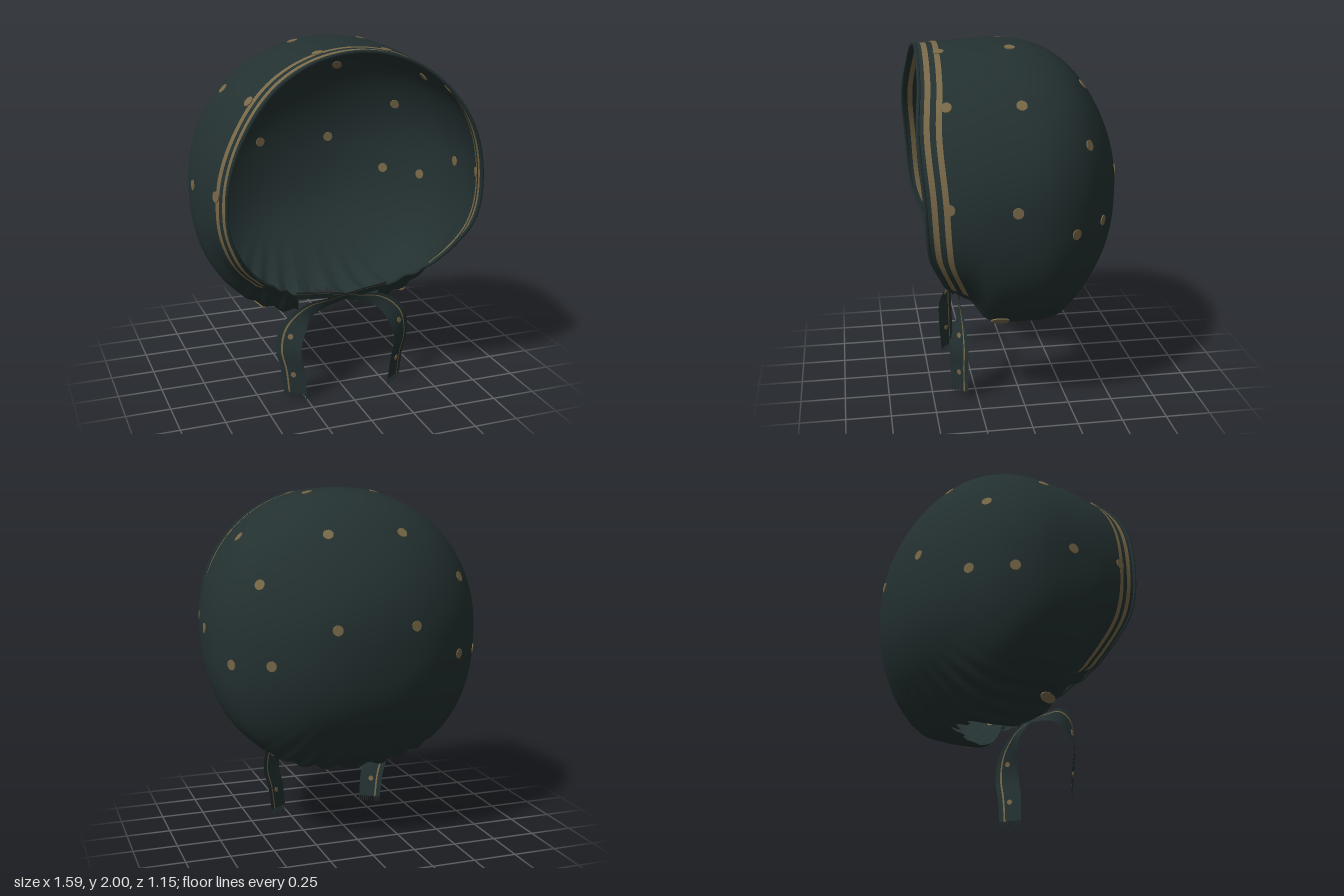
import * as THREE from 'three';

const fabric = new THREE.MeshStandardMaterial({ color: 0x243131, side: THREE.DoubleSide });
fabric.name = 'dark fabric';
const gold = new THREE.MeshStandardMaterial({ color: 0x786848, side: THREE.DoubleSide });
gold.name = 'gold print';

const POLE = -0.575, MID = 1.2;

// Smooth curve y(x) through rows of [x, y]
function smooth(pts) {
  const n = pts.length;
  const slope = pts.map((_, i) => {
    const a = pts[Math.max(i - 1, 0)], b = pts[Math.min(i + 1, n - 1)];
    return (b[1] - a[1]) / (b[0] - a[0]);
  });
  return (x) => {
    let i = 0;
    while (i < n - 2 && x > pts[i + 1][0]) i++;
    const h = pts[i + 1][0] - pts[i][0];
    const t = THREE.MathUtils.clamp((x - pts[i][0]) / h, 0, 1), t2 = t * t, t3 = t2 * t;
    return (2 * t3 - 3 * t2 + 1) * pts[i][1] + (t3 - 2 * t2 + t) * h * slope[i]
      + (3 * t2 - 2 * t3) * pts[i + 1][1] + (t3 - t2) * h * slope[i + 1];
  };
}

// Upright slices of the cap: z, half width, top, bottom
const slices = [
  [POLE, 0, 1.2, 1.2], [-0.55, 0.24, 1.42, 0.94], [-0.5, 0.39, 1.57, 0.79],
  [-0.4, 0.56, 1.75, 0.63], [-0.3, 0.67, 1.865, 0.51], [-0.2, 0.735, 1.935, 0.43],
  [-0.1, 0.775, 1.975, 0.415], [0, 0.79, 1.995, 0.415], [0.12, 0.79, 2, 0.42],
  [0.2, 0.787, 1.997, 0.45], [0.28, 0.78, 1.992, 0.56], [0.42, 0.752, 1.982, 0.64],
  [0.5, 0.728, 1.975, 0.69], [0.58, 0.72, 1.965, 0.72],
];
const depth = (z) => Math.sqrt(Math.max(z - POLE, 0));
const column = (k) => smooth(slices.map((s) => [depth(s[0]), s[k]]));
const halfWidth = column(1), top = column(2), bottom = column(3);

// Depth of the open edge by angle from the crown, in degrees
const rimDepth = smooth([
  [0, 0.53], [35, 0.545], [60, 0.57], [85, 0.55], [105, 0.535], [115, 0.52], [130, 0.47],
  [148, 0.41], [160, 0.32], [165, 0.25], [168, 0.14], [172, 0], [176, -0.14], [180, -0.19],
]);
const rimZ = (a) => rimDepth(Math.abs(a) * 180 / Math.PI);

// Point of the cap at an angle and depth, gathered towards the neck
function capPoint(a, z) {
  const s = depth(z), c = Math.cos(a), q = 2 / (c > 0 ? 2.05 : 2.4);
  const gather = THREE.MathUtils.smoothstep(Math.abs(a), 2.3, 2.85)
    * THREE.MathUtils.smoothstep(z, -0.5, -0.15);
  const k = 1 + 0.016 * gather * Math.cos(a * 38);
  const h = c > 0 ? top(s) - MID : MID - bottom(s);
  return new THREE.Vector3(
    k * halfWidth(s) * Math.sign(Math.sin(a)) * Math.abs(Math.sin(a)) ** q,
    MID + k * h * Math.sign(c) * Math.abs(c) ** q, z);
}

function buildGeometry(points, plain, printed) {
  const g = new THREE.BufferGeometry().setFromPoints(points);
  g.setIndex([...plain, ...printed]);
  g.addGroup(0, plain.length, 0);
  g.addGroup(plain.length, printed.length, 1);
  g.computeVertexNormals();
  return g;
}

// Cap shell with two printed bands behind the face edge
function makeCap() {
  const cols = 280, bands = [0, 0.03, 0.06, 0.09, 0.12], rows = 44;
  const pts = [], plain = [], printed = [], angles = [];
  const perCol = bands.length + rows;
  for (let i = 0; i < cols; i++) {
    const t = (2 * i) / cols - 1;
    const a = Math.PI * Math.sign(t) * (1 - (1 - Math.abs(t)) ** 1.2);
    angles.push(a);
    // frayed edge at the nape
    const fray = Math.abs(a) > 2.95 ? (i % 4 < 2 ? 0.02 : -0.02) : 0;
    const zr = rimZ(a) + fray;
    for (const d of bands) pts.push(capPoint(a, zr - d));
    for (let j = 1; j <= rows; j++) {
      const v = 1 - j / rows;
      pts.push(capPoint(a, POLE + (zr - 0.12 - POLE) * v * v));
    }
  }
  for (let i = 0; i < cols; i++) {
    const m = ((i + 1) % cols) * perCol, n = i * perCol;
    for (let j = 0; j < perCol - 1; j++) {
      const band = (j === 1 || j === 3) && Math.abs(angles[i]) < 2.55;
      (band ? printed : plain).push(n + j, m + j, n + j + 1, m + j, m + j + 1, n + j + 1);
    }
  }
  const cap = new THREE.Mesh(buildGeometry(pts, plain, printed), [fabric, gold]);
  cap.name = 'cap';
  return cap;
}

// Rolled hem along the face edge
function makeHem() {
  const pts = [];
  for (let i = 0; i <= 80; i++) {
    const a = -2.86 + 5.72 * i / 80;
    pts.push(capPoint(a, rimZ(a)));
  }
  const hem = new THREE.Mesh(
    new THREE.TubeGeometry(new THREE.CatmullRomCurve3(pts), 160, 0.01, 6), fabric);
  hem.name = 'faceHem';
  return hem;
}

// Printed spot lying through the cloth; x and y give the angle
function makeSpot(x, y, z, length = 1) {
  const s = depth(z), h = y > MID ? top(s) - MID : MID - bottom(s);
  const e = (y > MID ? 2.05 : 2.4) / 2;
  const a = Math.sign(x) * Math.atan2((Math.abs(x) / halfWidth(s)) ** e,
    Math.sign(y - MID) * (Math.abs(y - MID) / h) ** e);
  const p = capPoint(a, z);
  const across = capPoint(a + 0.01, z).sub(capPoint(a - 0.01, z));
  const back = capPoint(a, z - 0.01).sub(capPoint(a, z + 0.01));
  const normal = across.cross(back).normalize();
  const spot = new THREE.Mesh(new THREE.CylinderGeometry(0.029, 0.029, 0.0095, 14), gold);
  spot.name = 'spot';
  spot.position.copy(p);
  spot.quaternion.setFromUnitVectors(new THREE.Vector3(0, 1, 0), normal);
  spot.scale.z = length;
  return spot;
}

// Tie ribbon: centre points with half-width vectors, crossing under the chin
function makeTie(side) {
  const lift = side < 0 ? 0.012 : 0;
  const path = [
    [-0.27, 0.585, 0.28, 0, 0.025, 0.01], [-0.1, 0.575, 0.305, 0, 0.022, 0.01],
    [0.08, 0.55, 0.325, 0, 0.025, 0.01], [0.22, 0.515, 0.335, 0.02, 0.037, 0],
    [0.315, 0.42, 0.345, 0.06, 0.025, -0.03], [0.345, 0.3, 0.35, 0.06, 0, -0.045],
    [0.32, 0.17, 0.35, 0.057, 0, -0.045], [0.305, 0.03, 0.345, 0.055, 0, -0.04],
  ];
  const centre = new THREE.CatmullRomCurve3(
    path.map((p) => new THREE.Vector3(p[0] * side, p[1], p[2] + lift)));
  const width = new THREE.CatmullRomCurve3(
    path.map((p) => new THREE.Vector3(p[3] * side, p[4], p[5])));
  const across = [-1, 0.45, 0.6, 1], steps = 48, pts = [], plain = [], printed = [];
  for (let i = 0; i <= steps; i++) {
    const c = centre.getPoint(i / steps), w = width.getPoint(i / steps);
    for (const u of across) pts.push(c.clone().addScaledVector(w, u));
  }
  for (let i = 0; i < steps; i++) for (let j = 0; j < 3; j++) {
    const n = i * 4 + j;
    const quad = side > 0 ? [n, n + 4, n + 1, n + 1, n + 4, n + 5]
      : [n, n + 1, n + 4, n + 1, n + 5, n + 4];
    (j === 1 ? printed : plain).push(...quad);
  }
  const tie = new THREE.Group();
  tie.name = side > 0 ? 'leftTie' : 'rightTie';
  const ribbon = new THREE.Mesh(buildGeometry(pts, plain, printed), [fabric, gold]);
  ribbon.name = 'ribbon';
  tie.add(ribbon);
  // small printed marks
  for (const t of [0.62, 0.88]) {
    const mark = new THREE.Mesh(new THREE.CylinderGeometry(0.016, 0.016, 0.008, 10), gold);
    mark.name = 'tieMark';
    mark.position.copy(centre.getPoint(t));
    const n = width.getPoint(t).cross(centre.getTangent(t)).normalize();
    mark.quaternion.setFromUnitVectors(new THREE.Vector3(0, 1, 0), n);
    tie.add(mark);
  }
  // fringe
  const end = centre.getPoint(1), w = width.getPoint(1);
  for (let i = 0; i < 11; i++) {
    const strand = new THREE.Mesh(new THREE.BoxGeometry(0.004, 0.035, 0.004), fabric);
    strand.name = 'fringe';
    strand.position.copy(end).addScaledVector(w, -0.95 + 0.19 * i).setY(0.0175);
    tie.add(strand);
  }
  return tie;
}

export function createModel() {
  const bonnet = new THREE.Group();
  bonnet.name = 'bonnet';
  bonnet.add(makeCap(), makeHem());

  const spots = new THREE.Group();
  spots.name = 'spots';
  const places = [
    [0.215, 1.78, -0.36], [0.57, 1.51, -0.32], [0.205, 1.28, -0.55], [0.5, 1.1, -0.41],
    [0.7, 1.08, -0.23], [0.6, 1.74, 0.04], [0.2, 1.97, 0.04], [0.79, 1.23, 0.09],
    [0.19, 1.95, 0.42], [0.57, 1.74, 0.42], [0.75, 1.25, 0.43], [0.42, 0.54, 0.13, 1.8],
  ];
  for (const [x, y, z, length] of places)
    for (const side of [-1, 1]) spots.add(makeSpot(x * side, y, z, length));
  bonnet.add(spots);

  bonnet.add(makeTie(1), makeTie(-1));
  return bonnet;
}
